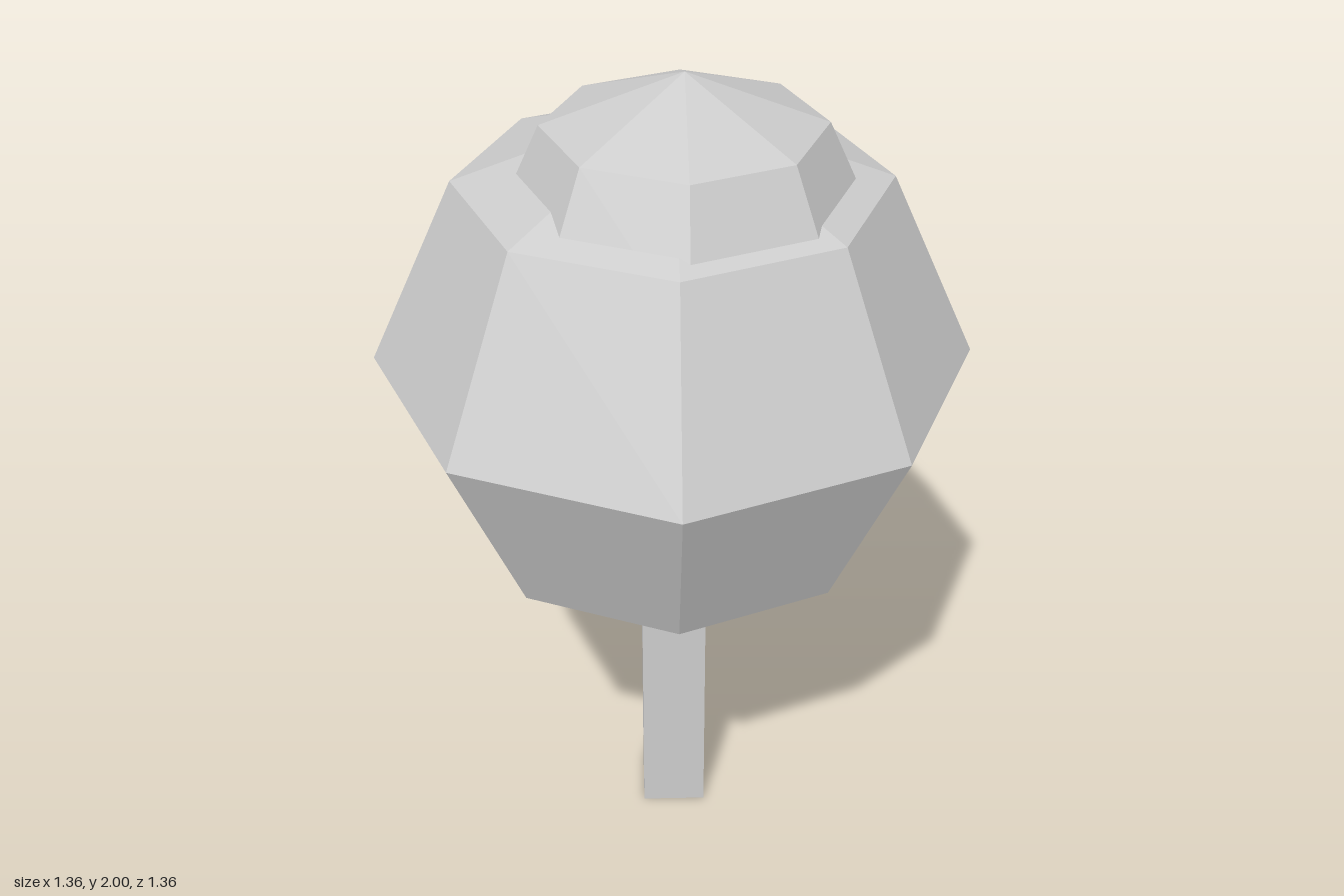
import * as THREE from 'three';

export function createModel() {
  const group = new THREE.Group();
  group.name = 'tree';
  const grey = new THREE.MeshStandardMaterial({ color: 0xcccccc, flatShading: true });
  grey.name = 'light grey';

  function add(name, geometry, x, y, z) {
    const mesh = new THREE.Mesh(geometry, grey);
    mesh.name = name;
    mesh.position.set(x, y, z);
    group.add(mesh);
    return mesh;
  }

  // Square trunk, its top buried in the foliage
  add('trunk', new THREE.BoxGeometry(0.155, 0.86, 0.155), 0, 0.43, 0);

  // Eight-sided foliage balls, slightly squashed; the upper one sits off-centre
  function foliage(name, radius, x, y, z) {
    add(name, new THREE.SphereGeometry(radius, 8, 4).scale(1, 0.9, 1), x, y, z);
  }
  foliage('mainFoliage', 0.68, 0, 1.3, 0);
  foliage('topFoliage', 0.431, 0.022, 1.612, 0.066);

  return group;
}
